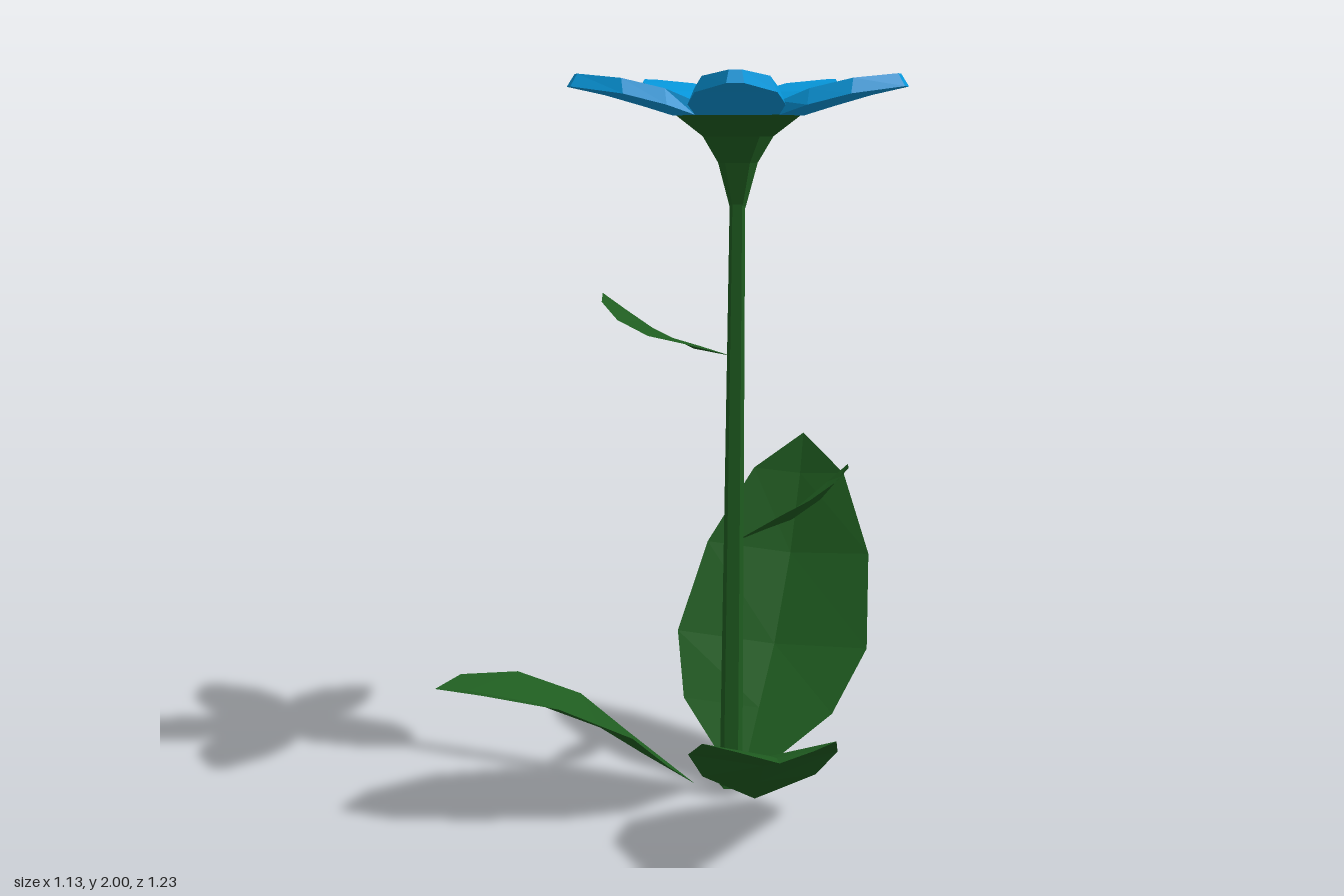
import * as THREE from 'three';

const green = new THREE.MeshStandardMaterial({ color: 0x1f5c20, flatShading: true, side: THREE.DoubleSide });
green.name = 'leaf green';
const blue = new THREE.MeshStandardMaterial({ color: 0x0696da, flatShading: true });
blue.name = 'petal blue';
const yellow = new THREE.MeshStandardMaterial({ color: 0xe0aa0a, flatShading: true });
yellow.name = 'pollen yellow';

// Skin a row of cross-sections; closed rings also get an end cap.
function loft(sections, closed) {
  const n = sections[0].length, index = [];
  for (let i = 0; i < sections.length - 1; i++) {
    for (let j = 0; j < (closed ? n : n - 1); j++) {
      const k = (j + 1) % n;
      const a = i * n + j, b = i * n + k, c = b + n, d = a + n;
      index.push(a, b, c, a, c, d);
    }
  }
  const last = (sections.length - 1) * n;
  if (closed) for (let j = 1; j < n - 1; j++) index.push(last, last + j, last + j + 1);
  const geo = new THREE.BufferGeometry();
  geo.setAttribute('position', new THREE.Float32BufferAttribute(sections.flat(2), 3));
  geo.setIndex(index);
  const flat = geo.toNonIndexed();
  flat.computeVertexNormals();
  return flat;
}

// Unit leaf: [distance along the chord, bow, half width]
const LEAF = [[0, 0, 0], [0.223, 0.058, 0.205], [0.411, 0.113, 0.265],
  [0.673, 0.113, 0.229], [0.893, 0.053, 0.129], [1, 0, 0]];

// Folded leaf from base to tip; edges and midrib bow by different amounts.
function leaf(name, base, tip, edgeBow, midBow, roll = 0) {
  const from = new THREE.Vector3(...base), to = new THREE.Vector3(...tip);
  const geo = loft(LEAF.map(([t, h, w]) => [[-w, h * edgeBow, t], [0, h * midBow, t], [w, h * edgeBow, t]]), false);
  const mesh = new THREE.Mesh(geo, green);
  mesh.name = name;
  mesh.position.copy(from);
  mesh.lookAt(to);
  mesh.rotateZ(roll);
  mesh.scale.setScalar(from.distanceTo(to));
  return mesh;
}

// Five-sided turned part with a corner pointing to -x
function turned(name, profile, material) {
  const points = profile.map(([r, y]) => new THREE.Vector2(r, y));
  const mesh = new THREE.Mesh(new THREE.LatheGeometry(points, 5, -Math.PI / 2), material);
  mesh.name = name;
  return mesh;
}

// Petal: [radius, half width, underside height, top height, inset of the top]
const PETAL = [[0.15, 0.109, 1.895, 1.93, 0], [0.23, 0.125, 1.92, 1.962, 0.018],
  [0.34, 0.103, 1.948, 1.988, 0.018], [0.46, 0.022, 1.967, 2.0, 0.006]];

function petalGeometry() {
  return loft(PETAL.map(([r, w, low, high, inset], i) => {
    const rTop = i === 3 ? r - 0.02 : r;
    return [[-w, low, r], [w, low, r], [w - inset, high, rTop], [inset - w, high, rTop]];
  }), true);
}

export function createModel() {
  const model = new THREE.Group();
  model.name = 'flower';

  // Stem, leaning very slightly
  const stem = turned('stem', [[0, 0.025], [0.034, 0.025], [0.022, 1.66]], green);
  stem.position.set(0.097, 0, -0.021);
  stem.rotation.z = -0.008;
  model.add(stem);

  // Flower head: calyx, shallow bowl, petals and centre
  const head = new THREE.Group();
  head.name = 'flowerHead';
  head.position.set(0.109, 0, -0.027);
  head.add(turned('calyx', [[0.022, 1.65], [0.056, 1.77], [0.1, 1.84], [0.18, 1.898]], green));
  head.add(turned('flowerBowl', [[0.185, 1.898], [0.185, 1.93], [0, 1.89]], blue));
  const petal = petalGeometry();
  for (let i = 0; i < 5; i++) {
    const mesh = new THREE.Mesh(petal, blue);
    mesh.name = 'petal';
    mesh.rotation.y = Math.PI / 2 + i * Math.PI * 2 / 5;
    head.add(mesh);
  }
  head.add(turned('flowerCentre', [[0.072, 1.898], [0.072, 1.918], [0.035, 1.928], [0, 1.926]], yellow));
  model.add(head);

  // Large leaves at the ground
  model.add(leaf('backLeaf', [0.122, 0.02, -0.03], [0.122, 0.95, -0.615], -0.3, -0.65));
  model.add(leaf('frontRightLeaf', [-0.01, 0.02, -0.015], [-0.565, 0.385, 0.485], 1, 0.6));
  model.add(leaf('frontLeftLeaf', [0.172, 0, -0.01], [0.44, 0.34, 0.61], 1, 0.6));

  // Small leaves on the stem
  model.add(leaf('upperStemLeaf', [0.095, 1.25, -0.02], [-0.335, 1.4, -0.14], -0.75, -0.5, 0.25));
  model.add(leaf('lowerStemLeaf', [0.11, 0.735, -0.03], [0.32, 0.9, -0.408], -0.4, -0.75, -0.52));

  return model;
}
